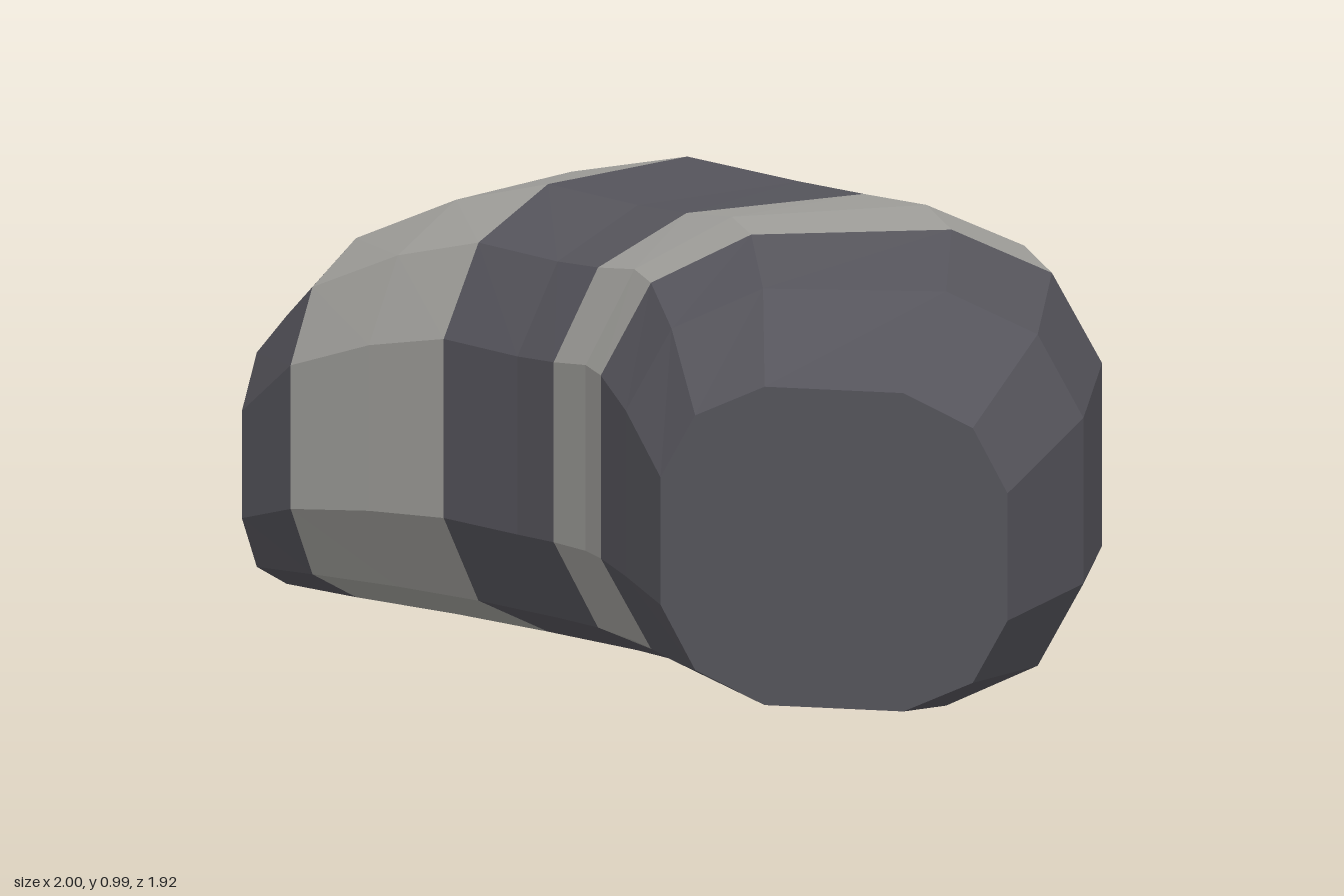
import * as THREE from 'three';

// Stations along the bend: inner x, inner z, outer x, outer z, bottom y, top y
const RINGS = [
  [-1.0, -0.36, -0.82, -0.93, 0.0, 0.56],
  [-0.86, -0.2, -0.58, -0.96, 0.0, 0.75],
  [-0.66, -0.05, -0.25, -0.9, 0.0, 0.865],
  [-0.47, 0.09, 0.06, -0.77, 0.0, 0.935],
  [-0.28, 0.24, 0.38, -0.55, 0.005, 0.935],
  [-0.18, 0.34, 0.59, -0.35, 0.01, 0.95],
  [-0.08, 0.48, 0.82, -0.05, 0.015, 0.985],
  [-0.02, 0.6, 0.95, 0.24, 0.03, 0.985],
  [0.07, 0.76, 1.0, 0.62, 0.055, 0.92],
  [0.19, 0.96, 0.92, 0.96, 0.1, 0.765],
];

// Twelve-sided rounded square, counter-clockwise, in fractions of width and height
const PROFILE = [
  [0.3, 0], [0.7, 0], [0.9, 0.1], [1, 0.3], [1, 0.7], [0.9, 0.9],
  [0.7, 1], [0.3, 1], [0.1, 0.9], [0, 0.7], [0, 0.3], [0.1, 0.1],
];

const ringPoints = ([ix, iz, ox, oz, y0, y1]) =>
  PROFILE.map(([u, v]) => [ix + (ox - ix) * u, y0 + (y1 - y0) * v, iz + (oz - iz) * u]);

function facets(triangles) {
  const geometry = new THREE.BufferGeometry();
  geometry.setAttribute('position', new THREE.Float32BufferAttribute(triangles.flat(), 3));
  geometry.computeVertexNormals();
  return geometry;
}

// Skin between consecutive rings
function band(rings) {
  const tris = [];
  for (let i = 0; i < rings.length - 1; i++) {
    const p = rings[i], q = rings[i + 1];
    for (let j = 0; j < p.length; j++) {
      const k = (j + 1) % p.length;
      tris.push(p[j], p[k], q[k], p[j], q[k], q[j]);
    }
  }
  return facets(tris);
}

// Flat end closing a ring
function cap(ring) {
  const tris = [];
  for (let j = 1; j < ring.length - 1; j++) tris.push(ring[0], ring[j], ring[j + 1]);
  return facets(tris);
}

export function createModel() {
  const group = new THREE.Group();
  group.name = 'bentSegmentedBody';

  const dark = new THREE.MeshStandardMaterial({ color: 0x55545b, flatShading: true });
  dark.name = 'darkGrey';
  const light = new THREE.MeshStandardMaterial({ color: 0xa09f9b, flatShading: true });
  light.name = 'lightGrey';

  const add = (name, geometry, material) => {
    const mesh = new THREE.Mesh(geometry, material);
    mesh.name = name;
    group.add(mesh);
  };

  const rings = RINGS.map(ringPoints);

  // Alternating bands from the back end to the front end
  [
    ['backBand', 0, 1, dark],
    ['backLightBand', 1, 3, light],
    ['middleBand', 3, 5, dark],
    ['frontLightBand', 5, 7, light],
    ['frontBand', 7, 9, dark],
  ].forEach(([name, from, to, material]) => add(name, band(rings.slice(from, to + 1)), material));

  // End faces
  add('backEnd', cap([...rings[0]].reverse()), dark);
  add('frontEnd', cap(rings[rings.length - 1]), dark);

  return group;
}
